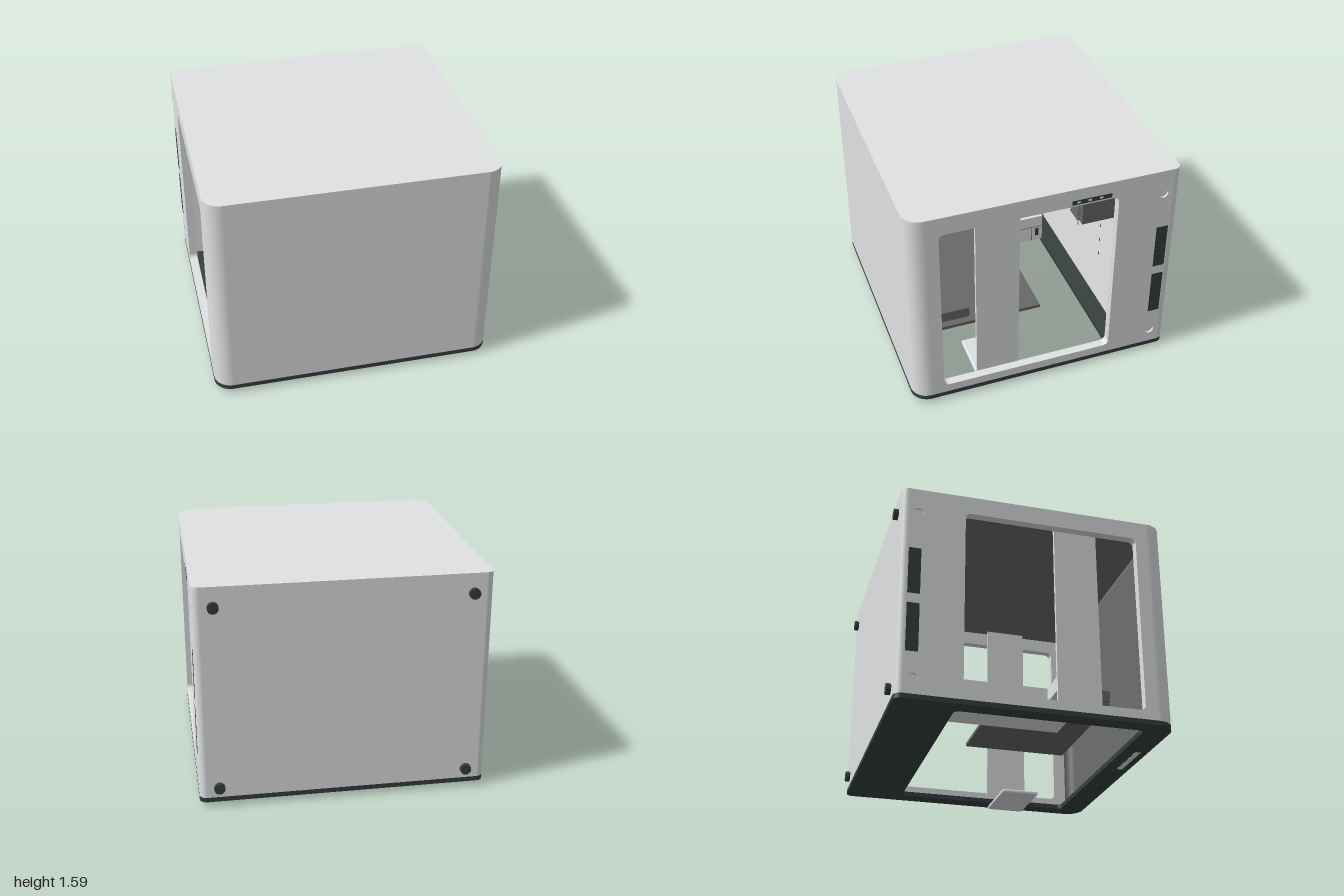
import * as THREE from 'three';
import { RoundedBoxGeometry } from 'three/addons/geometries/RoundedBoxGeometry.js';

const W = 0.998, FRONT = 0.963, BACK = -0.935, RF = 0.12, RB = 0.05;
const LOW = 0.068, ROOF = 1.56, TOP = 1.585, PANEL = -0.65;

const mat = (name, color, side = THREE.FrontSide) => {
  const m = new THREE.MeshStandardMaterial({ color, side });
  m.name = name;
  return m;
};

// Rounded rectangle; r0 rounds the two lower corners, r1 the two upper ones
function roundRect(x0, y0, x1, y1, r0, r1, Type = THREE.Shape) {
  const s = new Type();
  s.absarc(x0 + r0, y0 + r0, r0, Math.PI, Math.PI * 1.5);
  s.absarc(x1 - r0, y0 + r0, r0, Math.PI * 1.5, Math.PI * 2);
  s.absarc(x1 - r1, y1 - r1, r1, 0, Math.PI / 2);
  s.absarc(x0 + r1, y1 - r1, r1, Math.PI / 2, Math.PI);
  s.closePath();
  return s;
}

// Plan shape (x, -z) raised from y0 to y1
function slab(shape, y0, y1) {
  const g = new THREE.ExtrudeGeometry(shape, { depth: y1 - y0, bevelEnabled: false, curveSegments: 10 });
  return g.rotateX(-Math.PI / 2).translate(0, y0, 0);
}

// Points of a plan arc as [x, z], angles in degrees
function arc(cx, cz, r, from, to, n = 10) {
  return Array.from({ length: n + 1 }, (_, i) => {
    const a = THREE.MathUtils.degToRad(from + (to - from) * i / n);
    return [cx + r * Math.cos(a), cz + r * Math.sin(a)];
  });
}

// Upright thin wall along plan points
function band(points, y0, y1) {
  const pos = [], idx = [];
  points.forEach(([x, z], i) => {
    pos.push(x, y0, z, x, y1, z);
    if (i) {
      const a = 2 * i - 2;
      idx.push(a, a + 2, a + 1, a + 2, a + 3, a + 1);
    }
  });
  const g = new THREE.BufferGeometry();
  g.setAttribute('position', new THREE.Float32BufferAttribute(pos, 3));
  g.setIndex(idx);
  g.computeVertexNormals();
  return g;
}

export function createModel() {
  const model = new THREE.Group();
  model.name = 'enclosure';
  const shellGrey = mat('shell grey', 0xe1e2e4, THREE.DoubleSide);
  const baseDark = mat('base dark', 0x363f3f);
  const linerGrey = mat('liner grey', 0x6e6e6e, THREE.DoubleSide);
  const machineGrey = mat('machine grey', 0x686868);
  const machineLight = mat('machine light', 0xe2e5e6);
  const silver = mat('silver', 0xdce1e4);
  const white = mat('white', 0xffffff);

  const add = (name, geo, m) => {
    const mesh = new THREE.Mesh(geo, m);
    mesh.name = name;
    model.add(mesh);
    return mesh;
  };
  // Box given by its x, y and z ranges
  const box = (name, m, [x0, x1], [y0, y1], [z0, z1]) => add(name,
    new THREE.BoxGeometry(x1 - x0, y1 - y0, z1 - z0)
      .translate((x0 + x1) / 2, (y0 + y1) / 2, (z0 + z1) / 2), m);

  // Outer shell: roof, curved front and back
  const plan = () => roundRect(-W, -FRONT, W, -BACK, RF, RB);
  add('roof', slab(plan(), ROOF, TOP), shellGrey);
  const frontPath = (t) => [
    ...arc(-W + RF, FRONT - RF, RF - t, 180, 90), ...arc(W - RF, FRONT - RF, RF - t, 90, 0)];
  add('frontWall', band(frontPath(0), LOW, ROOF), shellGrey);
  add('backWall', band([
    ...arc(W - RB, BACK + RB, RB, 0, -90), ...arc(-W + RB, BACK + RB, RB, -90, -180)], LOW, ROOF), shellGrey);

  // Dark inner lining
  add('frontLiner', band(frontPath(0.04).reverse(), LOW, ROOF), linerGrey);
  add('ceilingLiner', new THREE.PlaneGeometry(1.9, 1.78).rotateX(Math.PI / 2)
    .translate(0, ROOF - 0.003, 0.015), linerGrey);

  // White partition in front of the rear compartment, with small slots
  box('rearPartition', white, [-W + 0.06, W - 0.06], [LOW, ROOF], [PANEL - 0.01, PANEL]);
  for (const x of [-0.75, -0.36, 0.03, 0.42])
    for (let y = 0.5; y < 1.35; y += 0.13)
      box('partitionSlot', machineGrey, [x - 0.006, x + 0.006], [y - 0.012, y + 0.012], [PANEL, PANEL + 0.003]);

  // Base frame with floor opening
  const base = plan();
  base.holes.push(roundRect(-0.88, -0.78, 0.88, 0.52, 0.04, 0.04, THREE.Path));
  add('baseFrame', slab(base, 0.034, LOW), baseDark);
  box('frontBaseStrip', baseDark, [-0.5, 0.5], [0.031, 0.034], [0.86, 0.92]);
  box('frontBasePlate', silver, [-0.5, -0.14], [0.03, 0.031], [0.87, 0.91]);
  box('backBaseStrip', baseDark, [-0.5, 0.4], [0.03, 0.034], [-0.82, -0.78]);

  // Softly rounded tray under the floor
  add('tray', new RoundedBoxGeometry(0.44, 0.032, 0.28, 4, 0.013).translate(0.72, 0.016, 0.33), silver);

  // Sides: windowed wall, pillar, vents and sunken round plugs
  for (const s of [1, -1]) {
    const side = s > 0 ? 'left' : 'right';
    const wall = roundRect(-(FRONT - RF), LOW, -(BACK + RB), ROOF, 0.0001, 0.0001);
    wall.holes.push(roundRect(-0.75, 0.132, 0.49, 1.452, 0.04, 0.04, THREE.Path));
    for (const y of [0.178, 1.402]) {
      wall.holes.push(new THREE.Path().absarc(0.817, y, 0.033, 0, Math.PI * 2));
      add(side + 'Plug', new THREE.CylinderGeometry(0.033, 0.033, 0.03, 24)
        .rotateZ(Math.PI / 2).translate(s * (W - 0.03), y, -0.817), shellGrey);
    }
    const g = new THREE.ExtrudeGeometry(wall, { depth: 0.06, bevelEnabled: false, curveSegments: 12 });
    g.rotateY(Math.PI / 2).translate(s > 0 ? W - 0.06 : -W, 0, 0);
    add(side + 'Wall', g, shellGrey);

    const span = (a, b) => (s > 0 ? [a, b] : [-b, -a]);
    box(side + 'Pillar', shellGrey, span(0.885, 0.91), [LOW, ROOF], [0.17, 0.48]);
    for (const [y0, y1] of [[0.362, 0.71], [0.78, 1.122]])
      box(side + 'Vent', baseDark, span(0.993, 0.999), [y0, y1], [-0.875, -0.79]);
    // Feet on the back
    for (const y of [0.142, 1.447])
      add('backFoot', new THREE.CylinderGeometry(0.038, 0.038, 0.032, 20)
        .rotateX(Math.PI / 2).translate(s * 0.862, y, BACK - 0.015), baseDark);
  }

  // Indicator bar above the left window
  box('indicatorBar', baseDark, [0.992, 0.999], [1.464, 1.498], [-0.435, -0.155]);
  for (const z of [-0.2, -0.28, -0.36])
    box('indicatorLight', white, [0.996, 1], [1.473, 1.489], [z - 0.012, z + 0.012]);

  // Bed plate with rear lip and front bar
  box('bedPlate', machineGrey, [-0.28, 0.8], [0.463, 0.488], [-0.03, 0.78]);
  box('bedLip', machineGrey, [0.2, 0.3], [0.48, 0.512], [-0.035, -0.02]);
  box('frontBar', machineGrey, [-0.3, 0.75], [0.488, 0.567], [0.48, 0.78]);

  // Machine body behind the bed, with an arm towards the right window
  box('machineBody', machineLight, [-0.45, -0.2], [0.24, 0.463], [-0.44, 0.4]);
  box('machineEnd', machineGrey, [-0.45, -0.2], [0.24, 0.463], [-0.453, -0.44]);
  box('sideArm', machineLight, [-0.78, -0.45], [0.36, 0.463], [0.25, 0.475]);
  box('sideArmCap', baseDark, [-0.81, -0.78], [0.32, 0.463], [0.25, 0.475]);
  box('machineSeam', machineGrey, [-0.2, -0.197], [0.367, 0.371], [-0.44, 0.17]);
  box('machinePanelEdge', machineGrey, [-0.2, -0.197], [0.24, 0.367], [-0.354, -0.35]);
  box('machineSwitch', baseDark, [-0.2, -0.194], [0.285, 0.352], [-0.41, -0.38]);
  for (const y of [0.352, 0.442])
    add('machineKnob', new THREE.CylinderGeometry(0.01, 0.014, 0.04, 12)
      .rotateX(Math.PI / 2).translate(-0.3, y, -0.472), machineGrey);

  // Hanging unit with comb teeth
  box('hangingUnit', machineGrey, [0.45, 0.66], [1.008, 1.193], [PANEL, -0.39]);
  for (let i = 0; i < 9; i++)
    box('unitTooth', machineGrey, [0.49, 0.62], [1.02 + i * 0.02, 1.03 + i * 0.02], [-0.39, -0.368]);

  return model;
}
